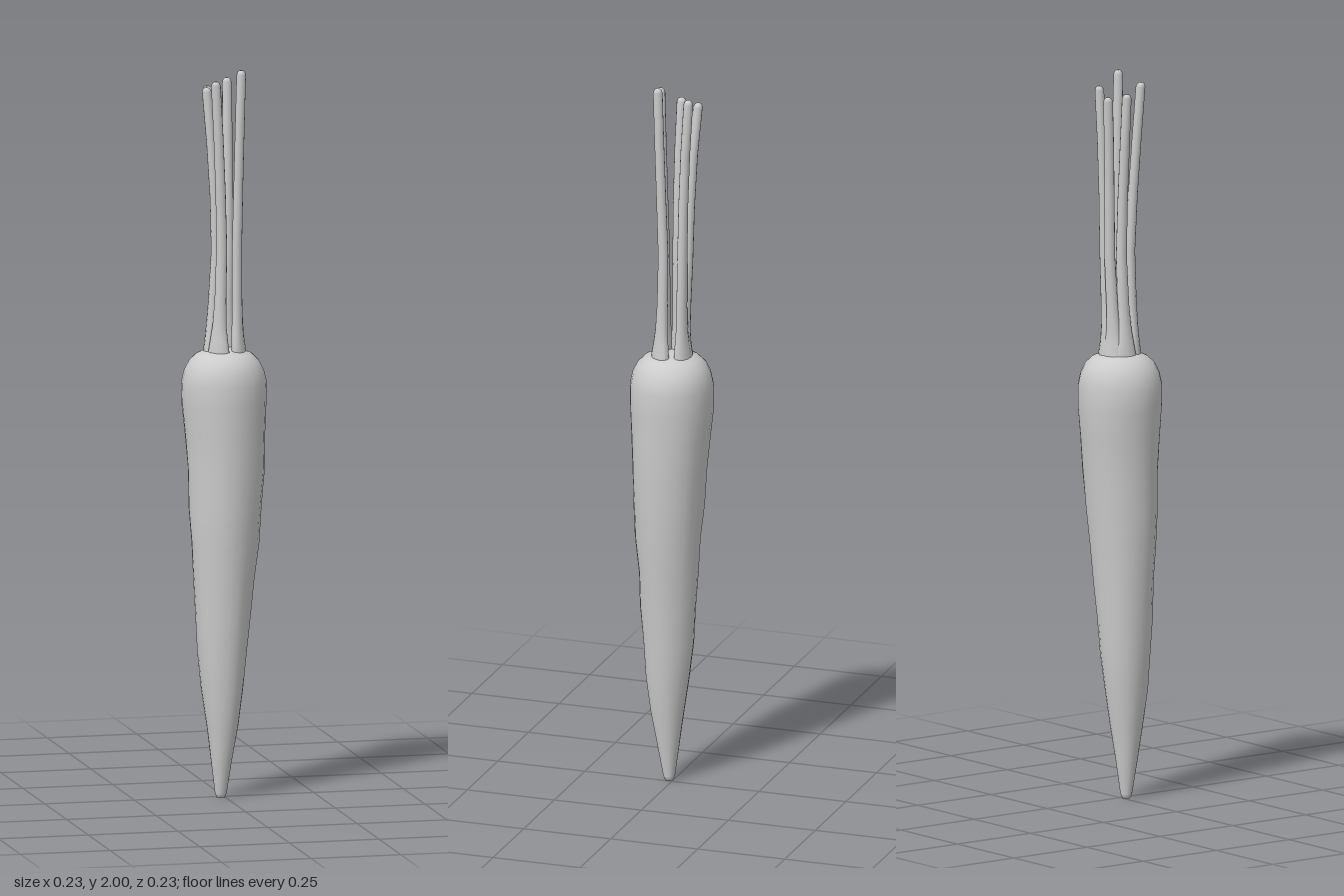
import * as THREE from 'three';

const GREY = new THREE.MeshStandardMaterial({ color: 0xcccccc });

// Skin a smooth closed body over rings { x, y, z, rx, rz, turn }, listed bottom to top.
function loft(name, rings, sides, bump = () => 1) {
  const pos = [], index = [];
  for (const { x, y, z, rx, rz, turn = 0 } of rings) {
    for (let j = 0; j < sides; j++) {
      const a = (j / sides) * Math.PI * 2, k = bump(a, y);
      const u = Math.cos(a) * rx * k, v = Math.sin(a) * rz * k;
      pos.push(x + u * Math.cos(turn) - v * Math.sin(turn), y, z + u * Math.sin(turn) + v * Math.cos(turn));
    }
  }
  for (let i = 0; i < rings.length - 1; i++) {
    for (let j = 0; j < sides; j++) {
      const n = (j + 1) % sides, a = i * sides, b = a + sides;
      index.push(a + j, b + j, a + n, a + n, b + j, b + n);
    }
  }
  // end caps
  [0, rings.length - 1].forEach((r, top) => {
    const c = pos.length / 3, { x, y, z } = rings[r];
    pos.push(x, y, z);
    for (let j = 0; j < sides; j++) {
      const a = r * sides + j, b = r * sides + ((j + 1) % sides);
      index.push(c, ...(top ? [b, a] : [a, b]));
    }
  });
  const geo = new THREE.BufferGeometry();
  geo.setAttribute('position', new THREE.Float32BufferAttribute(pos, 3));
  geo.setIndex(index);
  geo.computeVertexNormals();
  const mesh = new THREE.Mesh(geo, GREY);
  mesh.name = name;
  return mesh;
}

// Tapering root: y, centre x, centre z, radius x, radius z
function makeRoot() {
  const rows = [
    [0, -0.012, 0.012, 0.011, 0.011], [0.012, -0.012, 0.012, 0.016, 0.016],
    [0.1, -0.01, 0.014, 0.028, 0.03], [0.2, -0.008, 0.016, 0.043, 0.046],
    [0.3, -0.008, 0.014, 0.057, 0.06], [0.4, -0.008, 0.012, 0.067, 0.069],
    [0.5, -0.006, 0.011, 0.075, 0.076], [0.6, -0.003, 0.01, 0.083, 0.081],
    [0.7, -0.001, 0.01, 0.092, 0.089], [0.8, 0.001, 0.008, 0.099, 0.097],
    [0.9, 0.003, 0.005, 0.104, 0.101], [1.0, 0.003, 0.002, 0.109, 0.108],
    [1.08, 0, 0, 0.115, 0.114], [1.14, 0, 0, 0.117, 0.114],
    [1.175, 0, 0, 0.108, 0.107], [1.2, 0, 0, 0.095, 0.095],
    [1.218, 0, 0, 0.077, 0.077], [1.228, 0, 0, 0.055, 0.055], [1.232, 0, 0, 0.028, 0.028],
  ];
  const rings = rows.map(([y, x, z, rx, rz]) => ({ x, y, z, rx, rz }));
  // shallow dents that fade out at the shoulder
  const bump = (a, y) => 1 + 0.03 * Math.sin(2 * a + 11 * y) * Math.sin(3 * a - 17 * y)
    * THREE.MathUtils.clamp((1.15 - y) * 4, 0, 1);
  return loft('root', rings, 24, bump);
}

// Leaf stalk: broad sheath at the crown, narrowing to a slim, outward-leaning stem
function makeStalk(x, z, top) {
  const turn = Math.atan2(z, x);
  const base = new THREE.Vector3(0.002 + 0.042 * Math.cos(turn), 1.2, 0.042 * Math.sin(turn));
  const path = new THREE.CatmullRomCurve3([
    base,
    new THREE.Vector3(base.x * 0.88, 1.28, base.z * 0.88),
    new THREE.Vector3(x * 0.6 + 0.008, 1.5, z * 0.62 - 0.003),
    new THREE.Vector3(x * 0.76 + 0.005, 1.75, z * 0.78),
    new THREE.Vector3(x, top, z),
  ]);
  // fraction along path, radial radius, tangential radius
  const rows = [
    [0, 0.018, 0.031], [0.04, 0.018, 0.031], [0.08, 0.016, 0.026], [0.13, 0.0145, 0.02],
    [0.22, 0.014, 0.0165], [0.4, 0.0135, 0.015], [0.6, 0.013, 0.014], [0.8, 0.013, 0.0135],
    [0.985, 0.013, 0.013], [0.995, 0.01, 0.01], [1, 0.005, 0.005],
  ];
  const rings = rows.map(([t, rx, rz]) => {
    const p = path.getPointAt(t);
    return { x: p.x, y: p.y, z: p.z, rx, rz, turn };
  });
  return loft('leafStalk', rings, 12);
}

export function createModel() {
  const model = new THREE.Group();
  model.name = 'carrot';
  model.add(makeRoot());

  // Stalk tips: x, z, height
  const stalks = new THREE.Group();
  stalks.name = 'leafStalks';
  for (const tip of [
    [0.042, 0.026, 2.0], [-0.034, 0.045, 1.975], [-0.046, -0.012, 1.95],
    [-0.031, -0.065, 1.945], [0.021, -0.055, 1.968],
  ]) stalks.add(makeStalk(...tip));
  model.add(stalks);
  return model;
}
